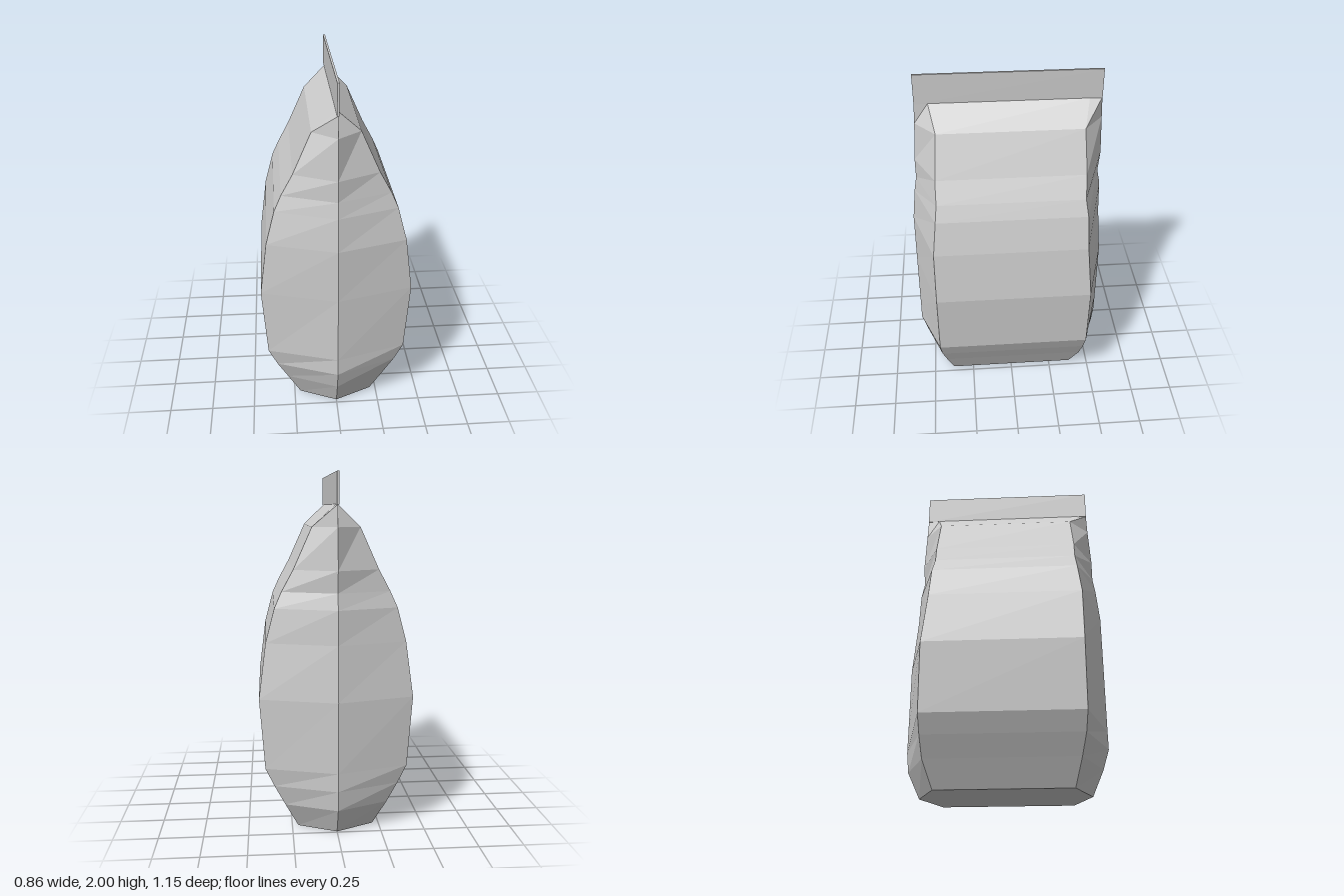
import * as THREE from 'three';

// Levels of the pouch: height, half width, front centre z, front corner z, back centre z, back corner z
const LEVELS = [
  [0.00, 0.215, 0.475, 0.375, -0.49, -0.385],
  [0.15, 0.29, 0.54, 0.415, -0.56, -0.435],
  [0.265, 0.35, 0.575, 0.44, -0.572, -0.445],
  [0.37, 0.40, 0.574, 0.45, -0.572, -0.45],
  [0.77, 0.43, 0.572, 0.45, -0.572, -0.45],
  [1.08, 0.39, 0.57, 0.45, -0.545, -0.425],
  [1.27, 0.34, 0.55, 0.43, -0.538, -0.42],
  [1.36, 0.30, 0.535, 0.42, -0.52, -0.408],
  [1.48, 0.235, 0.535, 0.42, -0.53, -0.415],
  [1.71, 0.132, 0.52, 0.405, -0.52, -0.41],
  [1.83, 0.006, 0.515, 0.44, -0.515, -0.445],
];

// Six-cornered cross-section, anticlockwise from above
const ring = ([y, w, front, frontSide, back, backSide]) => [
  [0, y, front], [w, y, frontSide], [w, y, backSide],
  [0, y, back], [-w, y, backSide], [-w, y, frontSide],
];

function pouchGeometry() {
  const rings = LEVELS.map(ring);
  const pos = [];
  const tri = (a, b, c) => pos.push(...a, ...b, ...c);
  // Walls
  for (let k = 0; k < rings.length - 1; k++) {
    const lo = rings[k], hi = rings[k + 1];
    for (let i = 0; i < 6; i++) {
      const j = (i + 1) % 6;
      tri(lo[i], lo[j], hi[j]);
      tri(lo[i], hi[j], hi[i]);
    }
  }
  // Flat bottom and narrow top
  const bottom = rings[0], top = rings[rings.length - 1];
  for (let i = 1; i < 5; i++) {
    tri(bottom[0], bottom[i + 1], bottom[i]);
    tri(top[0], top[i], top[i + 1]);
  }
  const geometry = new THREE.BufferGeometry();
  geometry.setAttribute('position', new THREE.Float32BufferAttribute(pos, 3));
  geometry.computeVertexNormals();
  return geometry;
}

export function createModel() {
  const model = new THREE.Group();
  model.name = 'bag';
  const foil = new THREE.MeshStandardMaterial({ color: 0xcccccc });
  foil.name = 'grey foil';
  foil.flatShading = true;

  const pouch = new THREE.Mesh(pouchGeometry(), foil);
  pouch.name = 'pouch';

  // Flat crimped strip that closes the top
  const seal = new THREE.Mesh(new THREE.BoxGeometry(0.012, 0.172, 1.03), foil);
  seal.name = 'topSeal';
  seal.position.y = 1.914;

  model.add(pouch, seal);
  return model;
}
